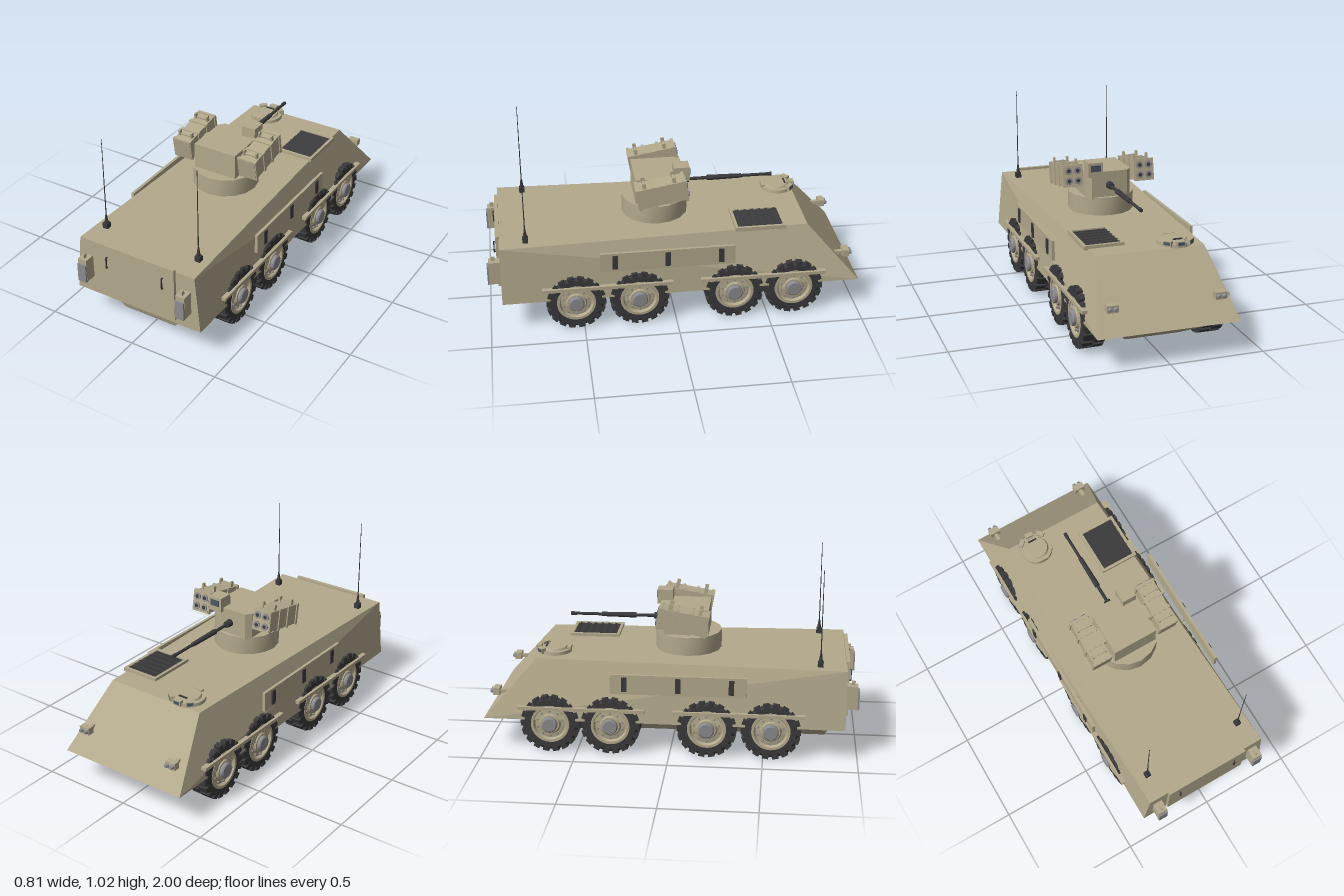
import * as THREE from 'three';
import { ConvexGeometry } from 'three/addons/geometries/ConvexGeometry.js';
import { mergeGeometries, toCreasedNormals } from 'three/addons/utils/BufferGeometryUtils.js';

const paint = (color) => new THREE.MeshStandardMaterial({ color });
const tan = paint(0xb3a98c), dark = paint(0x3a3a3c), grey = paint(0x8c8c90), glass = paint(0x4a5866);

function add(parent, name, geo, mat, x = 0, y = 0, z = 0) {
  const m = new THREE.Mesh(geo, mat);
  m.name = name;
  m.position.set(x, y, z);
  parent.add(m);
  return m;
}
const box = (w, h, d) => new THREE.BoxGeometry(w, h, d);
const cyl = (r1, r2, h, n = 16) => new THREE.CylinderGeometry(r1, r2, h, n);
const group = (parent, name, x = 0, y = 0, z = 0) => {
  const g = new THREE.Group();
  g.name = name;
  g.position.set(x, y, z);
  parent.add(g);
  return g;
};
// Convex solid mirrored in x from points on the +x side
const mirroredSolid = (pts) => new ConvexGeometry(pts.flatMap(([x, y, z]) =>
  [new THREE.Vector3(x, y, z), new THREE.Vector3(-x, y, z)]));
// Surface of revolution about the x axis from [radius, x] pairs
const spin = (pts, n) => toCreasedNormals(
  new THREE.LatheGeometry(pts.map(([r, h]) => new THREE.Vector2(r, h)), n).rotateZ(-Math.PI / 2), 0.5);

function makeWheel() {
  const w = new THREE.Group();
  add(w, 'tire', spin([[0, -0.045], [0.09, -0.045], [0.1, -0.058], [0.135, -0.058], [0.15, -0.045],
    [0.15, 0.045], [0.135, 0.058], [0.105, 0.058], [0.1, 0.03]], 36), dark);
  // Two staggered rows of tread blocks with shoulder lugs
  const lugs = [];
  const count = 18;
  for (let i = 0; i < count; i++) for (const s of [-1, 1]) {
    const a = (i + (s > 0 ? 0.5 : 0)) * 2 * Math.PI / count;
    lugs.push(box(0.054, 0.016, 0.034).translate(s * 0.029, 0.151, 0).rotateX(a));
    lugs.push(box(0.006, 0.03, 0.03).translate(s * 0.056, 0.142, 0).rotateX(a));
  }
  add(w, 'tread', mergeGeometries(lugs), dark);
  add(w, 'rim', spin([[0.104, 0.03], [0.104, 0.06], [0.09, 0.06], [0.082, 0.045], [0.058, 0.048],
    [0.05, 0.06], [0, 0.06]], 32), tan);
  add(w, 'hub', spin([[0.042, 0.04], [0.042, 0.074], [0.036, 0.08], [0, 0.08]], 20), grey);
  const bolts = [];
  for (let i = 0; i < 10; i++)
    bolts.push(cyl(0.006, 0.006, 0.014, 6).rotateZ(Math.PI / 2).translate(0.05, 0.07, 0).rotateX(i * Math.PI / 5));
  add(w, 'wheelBolts', mergeGeometries(bolts), grey);
  return w;
}

function makePod(parent, side) {
  const p = group(parent, side > 0 ? 'leftPod' : 'rightPod', side * 0.202, 0.708, 0.06);
  p.rotation.x = 0.17;
  add(p, 'podBody', box(0.1, 0.11, 0.27), tan);
  for (const z of [-0.125, -0.04, 0.04, 0.125]) add(p, 'podBand', box(0.112, 0.12, 0.016), tan, 0, 0, z);
  for (const x of [-0.025, 0.025]) for (const y of [-0.027, 0.027]) {
    add(p, 'tubeCover', cyl(0.02, 0.02, 0.012).rotateX(Math.PI / 2), grey, x, y, -0.135);
    add(p, 'tubeCap', cyl(0.01, 0.01, 0.014, 12).rotateX(Math.PI / 2), dark, x, y, -0.136);
  }
  for (const x of [-0.037, 0.037]) for (const z of [-0.075, 0.085]) {
    add(p, 'liftingLug', box(0.01, 0.032, 0.02), tan, x, 0.07, z);
  }
  for (const z of [-0.075, 0.085]) add(p, 'lugBar', box(0.084, 0.008, 0.012), tan, 0, 0.063, z);
  add(p, 'mountArm', box(0.06, 0.05, 0.08), tan, -side * 0.075, -0.015, 0);
}

export function createModel() {
  const root = new THREE.Group();
  root.name = 'armouredCarrier';

  // Hull
  add(root, 'upperHull', mirroredSolid([
    [0.375, 0.18, 0.93], [0.375, 0.18, -1], [0.345, 0.5, 0.93], [0.287, 0.5, -0.72]]), tan);
  add(root, 'lowerHull', mirroredSolid([
    [0.245, 0.181, 0.87], [0.245, 0.181, -0.99], [0.158, 0.064, 0.83], [0.158, 0.064, -0.77],
    [0.145, 0.057, 0.825], [0.145, 0.057, -0.76]]), tan);

  // Rear door
  add(root, 'rearDoor', box(0.47, 0.305, 0.02), tan, 0, 0.362, 0.937);
  for (const x of [-0.168, 0.168]) {
    add(root, 'doorHandle', box(0.006, 0.066, 0.006), dark, x, 0.418, 0.957);
    for (const y of [0.388, 0.448]) add(root, 'handleFoot', box(0.006, 0.006, 0.012), dark, x, y, 0.95);
  }

  for (const s of [-1, 1]) {
    // Wheels
    for (const z of [0.54, 0.2, -0.315, -0.64]) {
      const w = makeWheel();
      w.name = 'wheel';
      w.position.set(s * 0.32, 0.16, z);
      if (s < 0) w.rotation.y = Math.PI;
      root.add(w);
      add(root, 'axle', cyl(0.025, 0.025, 0.16, 12).rotateZ(Math.PI / 2), dark, s * 0.2, 0.16, z);
    }
    // Fender strips and side panel
    for (const [z, d] of [[0.37, 0.7], [-0.47, 0.68]])
      add(root, 'fenderStrip', box(0.03, 0.018, d), tan, s * 0.378, 0.25, z);
    add(root, 'sidePanel', box(0.016, 0.108, 0.72), tan, s * 0.388, 0.406, 0.05);
    for (const z of [0.33, 0.05, -0.235])
      add(root, 'sideVision', box(0.018, 0.08, 0.028), dark, s * 0.394, 0.408, z);

    // Rear lamps
    const lamp = group(root, 'rearLamp', s * 0.297, 0.345, 0.93);
    add(lamp, 'lampHousing', box(0.052, 0.13, 0.06), tan, 0, 0, 0.03);
    add(lamp, 'lampLens', box(0.05, 0.105, 0.01), grey, 0, -0.014, 0.064);
    add(lamp, 'lampKnob', box(0.008, 0.024, 0.02), tan, 0, 0.076, 0.035);

    // Headlamps
    const head = group(root, 'headLamp', s * 0.283, 0.31, -0.94);
    add(head, 'headLampBody', box(0.06, 0.038, 0.036), tan);
    add(head, 'headLampArm', box(0.02, 0.02, 0.07), tan, 0, -0.004, 0.035);
    for (const x of [-0.015, 0.015])
      add(head, 'headLampLens', cyl(0.009, 0.013, 0.016, 12).rotateX(-Math.PI / 2), grey, x, 0, -0.025);

    // Antennas
    const ant = group(root, 'antenna', s * 0.28, 0.5, 0.79);
    add(ant, 'antennaBase', box(0.03, 0.03, 0.03), dark, 0, 0.015, 0);
    add(ant, 'antennaSpring', cyl(0.004, 0.011, 0.05, 10), dark, 0, 0.055, 0);
    add(ant, 'antennaRod', cyl(0.0015, 0.003, 0.45, 6), dark, 0, 0.3, 0);
  }

  // Turret
  const turret = group(root, 'turret');
  add(turret, 'turretRing', toCreasedNormals(cyl(0.18, 0.18, 0.1, 16), 0.6), tan, 0, 0.55, 0.075);
  add(turret, 'turretBody', mirroredSolid([0.59, 0.741].flatMap((y) =>
    [[0.126, y, 0.19], [0.126, y, -0.05], [0.1, y, -0.08]])), tan);
  add(turret, 'sightBox', box(0.08, 0.08, 0.085), tan, 0.085, 0.759, -0.06);
  add(turret, 'sightGlass', box(0.054, 0.034, 0.006), glass, 0.085, 0.768, -0.104);
  makePod(turret, 1);
  makePod(turret, -1);

  // Gun
  const rod = (r1, r2, l) => cyl(r1, r2, l, 14).rotateX(-Math.PI / 2);
  add(turret, 'gunMantlet', rod(0.018, 0.022, 0.05), dark, 0, 0.665, -0.09);
  add(turret, 'gunBarrel', rod(0.008, 0.009, 0.5), dark, 0, 0.665, -0.325);
  add(turret, 'gunSleeve', rod(0.012, 0.015, 0.19), dark, 0, 0.665, -0.31);
  add(turret, 'gunMuzzle', rod(0.01, 0.01, 0.03), dark, 0, 0.665, -0.56);

  // Engine grille
  const grille = group(root, 'engineGrille', 0.205, 0.505, -0.462);
  add(grille, 'grilleBed', box(0.2, 0.008, 0.26), dark);
  for (const s of [-1, 1]) {
    add(grille, 'grilleSide', box(0.016, 0.022, 0.276), tan, s * 0.1, 0, 0);
    add(grille, 'grilleEnd', box(0.2, 0.022, 0.016), tan, 0, 0, s * 0.13);
  }
  for (let i = 0; i < 6; i++) {
    const slat = add(grille, 'grilleSlat', box(0.188, 0.004, 0.024), dark, 0, 0.006, -0.1 + i * 0.04);
    slat.rotation.x = 0.35;
  }

  // Driver hatch with periscopes
  const hatch = group(root, 'driverHatch', -0.155, 0.5, -0.64);
  add(hatch, 'hatchRing', cyl(0.088, 0.09, 0.02, 28), tan, 0, 0.008, 0);
  add(hatch, 'hatchLid', cyl(0.062, 0.07, 0.014, 28), tan, 0, 0.022, 0);
  add(hatch, 'hatchHandle', box(0.05, 0.006, 0.008), dark, 0, 0.033, -0.045);
  add(hatch, 'hatchHinge', box(0.06, 0.016, 0.02), tan, 0, 0.02, 0.078);
  for (const a of [-0.75, 0, 0.75]) {
    const scope = group(hatch, 'periscope', -Math.sin(a) * 0.086, 0.02, -Math.cos(a) * 0.086);
    scope.rotation.y = a;
    add(scope, 'periscopeBody', box(0.044, 0.028, 0.026), tan);
    add(scope, 'periscopeGlass', box(0.034, 0.016, 0.004), glass, 0, 0.002, -0.013);
  }
  return root;
}
